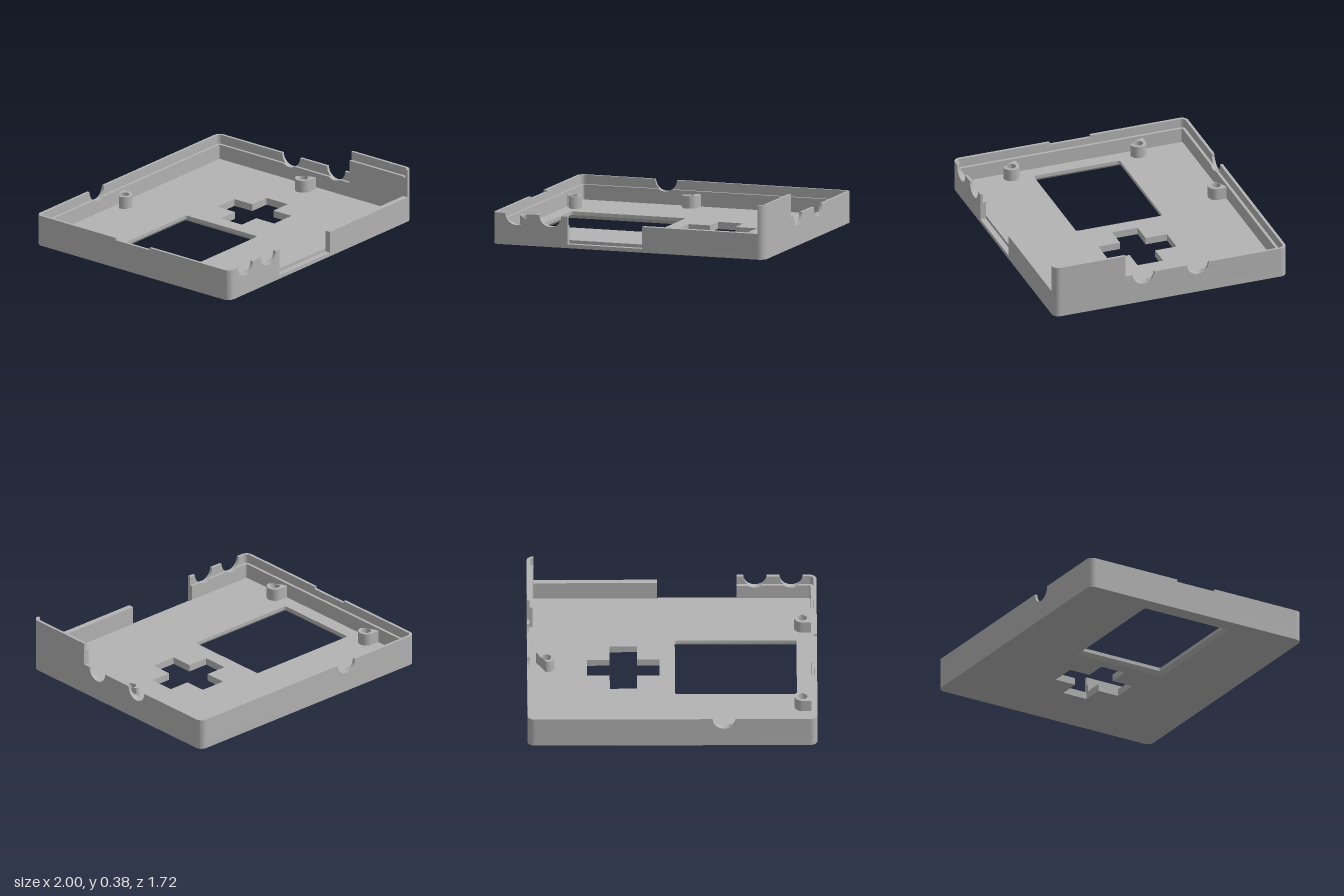
import * as THREE from 'three';
import { toCreasedNormals } from 'three/addons/utils/BufferGeometryUtils.js';

const W = 1, D = 0.86, R = 0.05;          // half width, half depth, corner radius
const FLOOR = 0.05, LEDGE = 0.155, RIM = 0.22;
const T = 0.02;                           // thickness of the lip and of the ledge behind it
const TALL = 0.38, TALL_LEDGE = 0.32;

export function createModel() {
  const model = new THREE.Group();
  const gray = new THREE.MeshStandardMaterial({ color: 0xb3b3b3 });
  gray.name = 'gray plastic';

  const add = (name, geo) => {
    const mesh = new THREE.Mesh(toCreasedNormals(geo, 0.5), gray);
    mesh.name = name;
    model.add(mesh);
    return mesh;
  };

  // Plan shapes use (x, -z); extruded upward from y0 to y1
  const raise = (shape, y0, y1, steps = 1) =>
    new THREE.ExtrudeGeometry(shape, { depth: y1 - y0, steps, bevelEnabled: false, curveSegments: 12 })
      .rotateX(-Math.PI / 2).translate(0, y0, 0);

  // Upright panel along u with round notches cut into its top edge
  const panel = (u0, u1, y0, top, notches = [], depth = T) => {
    const s = new THREE.Shape();
    s.moveTo(u0, y0);
    s.lineTo(u1, y0);
    s.lineTo(u1, top);
    const r = 0.08, a = Math.asin((RIM - top) / r);
    [...notches].sort((p, q) => q - p).forEach((c) => s.absarc(c, RIM, r, -a, -(Math.PI - a), true));
    s.lineTo(u0, top);
    return new THREE.ExtrudeGeometry(s, { depth, bevelEnabled: false, curveSegments: 20 });
  };

  // Place a panel on a side, inset from the outer face
  const place = {
    front: (g, inset, d = T) => g.translate(0, 0, D - inset - d),
    back: (g, inset) => g.translate(0, 0, -D + inset),
    right: (g, inset) => g.rotateY(-Math.PI / 2).translate(W - inset, 0, 0),
    left: (g, inset) => g.rotateY(-Math.PI / 2).translate(-W + inset + T, 0, 0),
  };
  const wall = (side, u0, u1, lip, ledge, notches) => {
    add(side + 'WallLip', place[side](panel(u0, u1, FLOOR, lip, notches), 0));
    add(side + 'WallLedge', place[side](panel(u0, u1, FLOOR, ledge, notches), T));
  };

  // Floor with window and cross openings, stepped back along the front right
  const ex = W - R, ez = D - R;
  const floor = new THREE.Shape();
  floor.moveTo(-W, -ez);
  floor.absarc(-ex, -ez, R, Math.PI, Math.PI * 1.5, false);
  floor.lineTo(-0.45, -D);
  floor.lineTo(-0.45, -D + 2 * T);
  floor.lineTo(0.1, -D + 2 * T);
  floor.lineTo(0.1, -D);
  floor.absarc(ex, -ez, R, -Math.PI / 2, 0, false);
  floor.absarc(ex, ez, R, 0, Math.PI / 2, false);
  floor.absarc(-ex, ez, R, Math.PI / 2, Math.PI, false);
  floor.closePath();

  const [wx0, wx1, wz0, wz1, wr] = [-0.86, -0.02, -0.32, 0.315, 0.015];
  const win = new THREE.Path();
  win.absarc(wx0 + wr, -wz1 + wr, wr, Math.PI * 1.5, Math.PI, true);
  win.absarc(wx0 + wr, -wz0 - wr, wr, Math.PI, Math.PI / 2, true);
  win.absarc(wx1 - wr, -wz0 - wr, wr, Math.PI / 2, 0, true);
  win.absarc(wx1 - wr, -wz1 + wr, wr, 0, -Math.PI / 2, true);
  win.closePath();

  const [a, b, c, d] = [0.085, 0.242, 0.43, 0.587];
  const [e, f, g, h] = [-0.25, -0.09, 0.098, 0.255];
  const cross = new THREE.Path([
    [b, e], [b, f], [a, f], [a, g], [b, g], [b, h],
    [c, h], [c, g], [d, g], [d, f], [c, f], [c, e],
  ].map(([x, y]) => new THREE.Vector2(x, y)));
  cross.closePath();
  floor.holes.push(win, cross);

  const floorGeo = raise(floor, 0, FLOOR, 2);
  // Widen the underside of the window into a chamfer
  const p = floorGeo.attributes.position;
  const cx = (wx0 + wx1) / 2, cz = (wz0 + wz1) / 2;
  const hx = (wx1 - wx0) / 2, hz = (wz1 - wz0) / 2, grow = 0.025;
  for (let i = 0; i < p.count; i++) {
    const x = p.getX(i) - cx, z = p.getZ(i) - cz;
    if (p.getY(i) < 0.001 && Math.abs(x) < hx + 0.005 && Math.abs(z) < hz + 0.005) {
      p.setX(i, cx + x + Math.sign(x) * grow);
      p.setZ(i, cz + z + Math.sign(z) * grow);
    }
  }
  add('floor', floorGeo);

  // Low sill under the front gap
  add('frontSill', place.front(panel(-0.45, 0.1, 0, 0.027, [], 2 * T).clone(), 0, 2 * T));

  // Walls
  wall('front', -ex, -0.45, RIM, LEDGE, [-0.825, -0.575]);
  add('frontLowWall', place.front(panel(0.1, ex, FLOOR, 0.18, [], 2 * T), 0, 2 * T));
  wall('back', -ex, ex, RIM, LEDGE, [-0.357]);
  wall('right', -ez, 0.335, RIM, LEDGE, [-0.2, 0.2]);
  wall('right', 0.335, ez, TALL, TALL_LEDGE);
  wall('left', -ez, -0.15, RIM, LEDGE);
  wall('left', -0.15, 0.15, 0.203, LEDGE);
  wall('left', 0.15, ez, RIM, LEDGE);

  // Rounded corners, as quarter rings of lip and ledge
  [[1, 1], [-1, 1], [-1, -1], [1, -1]].forEach(([sx, sz]) => {
    const tall = sx > 0 && sz > 0;
    const start = Math.atan2(-sz, sx) - Math.PI / 4;
    const ring = (name, r0, r1, top) => {
      const s = new THREE.Shape();
      s.absarc(sx * ex, -sz * ez, r1, start, start + Math.PI / 2, false);
      s.absarc(sx * ex, -sz * ez, r0, start + Math.PI / 2, start, true);
      s.closePath();
      add(name, raise(s, FLOOR, top));
    };
    ring('cornerLip', R - T, R, tall ? TALL : RIM);
    ring('cornerLedge', R - 2 * T, R - T, tall ? TALL_LEDGE : LEDGE);
  });

  // Screw posts: round-ended blocks joined to a wall, with a blind hole
  [[-0.9, -0.47, 0], [-0.9, 0.465, 0], [0.867, 0, Math.PI], [-0.15, -0.763, -Math.PI / 2]].forEach(([x, z, turn]) => {
    const s = new THREE.Shape(), r = 0.057, back = -0.07;
    s.moveTo(back, -r);
    s.absarc(0, 0, r, -Math.PI / 2, Math.PI / 2, false);
    s.lineTo(back, r);
    s.closePath();
    const hole = new THREE.Path();
    hole.absarc(0, 0, 0.034, 0, Math.PI * 2, true);
    s.holes.push(hole);
    const post = add('screwPost', raise(s, FLOOR, 0.137));
    post.position.set(x, 0, z);
    post.rotation.y = turn;
  });

  return model;
}
